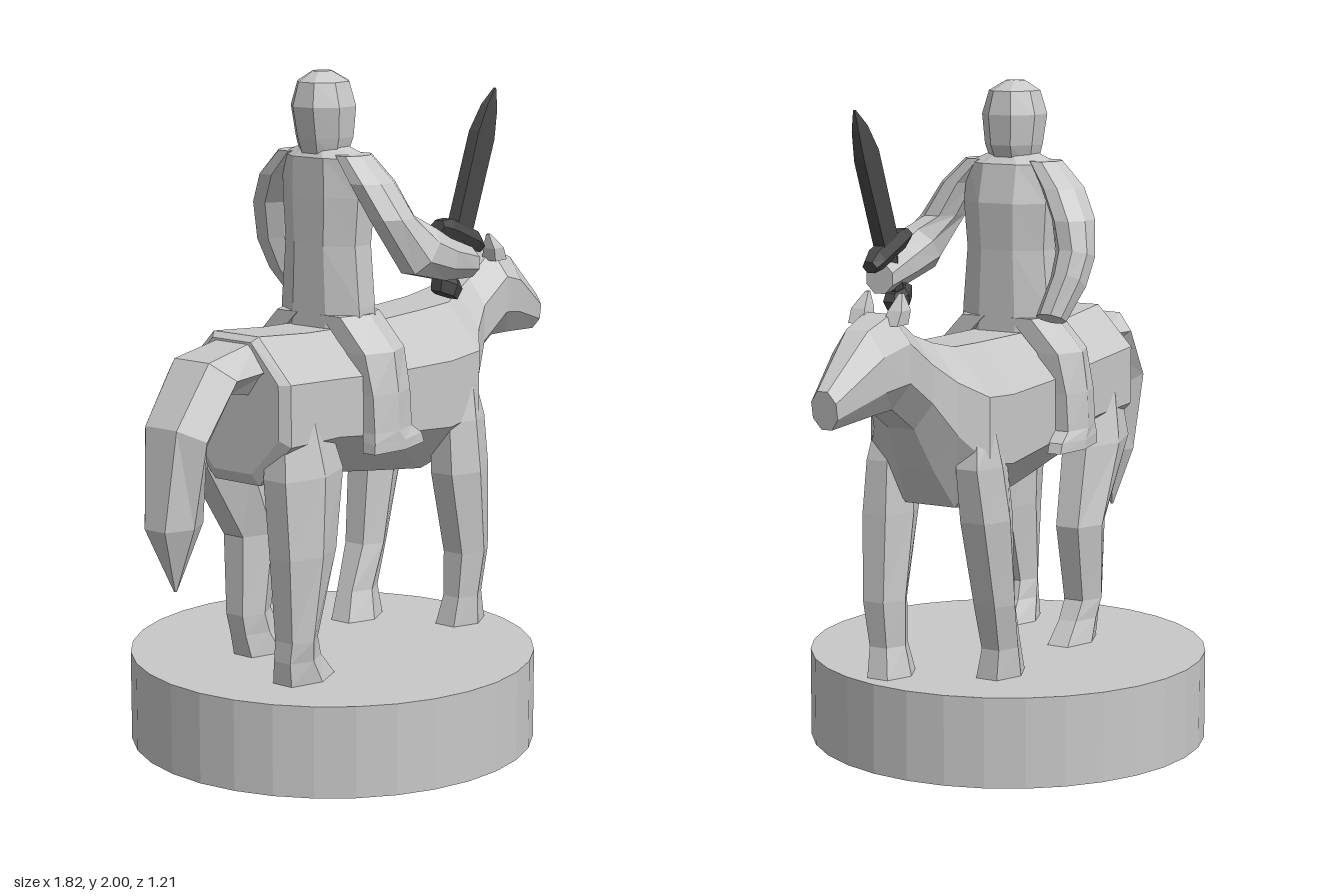
import * as THREE from 'three';

const stone = new THREE.MeshStandardMaterial({ color: 0xc8c8c8, flatShading: true });
stone.name = 'pale stone';
const steel = new THREE.MeshStandardMaterial({ color: 0x484848, flatShading: true });
steel.name = 'dark steel';

// Skin closed rings. Each section is [x, y, z, a, b, tilt]: half-size a lies in the
// xy plane at tilt degrees, half-size b lies along z. Flat sides touch the extents.
function loft(name, sections, material = stone, n = 8) {
  const grow = 1 / Math.cos(Math.PI / n);
  const pos = [], index = [];
  for (const [x, y, z, a, b, tilt = 0] of sections) {
    const t = THREE.MathUtils.degToRad(tilt);
    for (let i = 0; i < n; i++) {
      const p = ((i + 0.5) / n) * Math.PI * 2;
      const u = Math.cos(p) * a * grow;
      pos.push(x + u * Math.cos(t), y + u * Math.sin(t), z + Math.sin(p) * b * grow);
    }
  }
  for (let s = 0; s < sections.length - 1; s++) {
    for (let i = 0; i < n; i++) {
      const j = (i + 1) % n, p = s * n, q = p + n;
      index.push(p + i, q + i, q + j, p + i, q + j, p + j);
    }
  }
  const last = (sections.length - 1) * n;
  for (let i = 1; i < n - 1; i++) {
    index.push(0, i, i + 1, last, last + i + 1, last + i);
  }
  // Turn faces outward if the rings ran the other way
  const v = (k) => new THREE.Vector3().fromArray(pos, k * 3);
  const centre = v(0).add(v(last)).multiplyScalar(0.5);
  let volume = 0;
  for (let k = 0; k < index.length; k += 3) {
    const [p, q, r] = [0, 1, 2].map((m) => v(index[k + m]).sub(centre));
    volume += p.dot(q.cross(r));
  }
  if (volume < 0) index.reverse();
  const geo = new THREE.BufferGeometry();
  geo.setAttribute('position', new THREE.Float32BufferAttribute(pos, 3));
  geo.setIndex(index);
  const flat = geo.toNonIndexed();
  flat.computeVertexNormals();
  const mesh = new THREE.Mesh(flat, material);
  mesh.name = name;
  return mesh;
}

function createHorse() {
  const horse = new THREE.Group();
  horse.name = 'horse';

  // Trunk, neck and head in one skin
  horse.add(loft('horseBody', [
    [-0.58, 1.08, 0, 0.19, 0.17, 90],
    [-0.56, 1.07, 0, 0.215, 0.2, 90],
    [-0.34, 1.06, 0, 0.205, 0.2, 90],
    [-0.1, 1.035, 0, 0.22, 0.2, 90],
    [0.2, 1.015, 0, 0.245, 0.2, 90],
    [0.34, 1.03, 0, 0.235, 0.2, 90],
    [0.42, 1.1, 0, 0.185, 0.14, 90],
    [0.5, 1.18, 0, 0.135, 0.105, 90],
    [0.62, 1.255, 0, 0.135, 0.105, 90],
    [0.72, 1.235, 0, 0.12, 0.085, 85],
    [0.9, 1.155, 0, 0.055, 0.04, 80],
  ]));

  horse.add(loft('tail', [
    [-0.54, 1.19, 0, 0.08, 0.1, 90],
    [-0.705, 1.185, 0, 0.068, 0.11, 132],
    [-0.82, 1.03, 0, 0.07, 0.1, 150],
    [-0.832, 0.78, 0, 0.08, 0.065, 180],
    [-0.83, 0.59, 0, 0.004, 0.004, 180],
  ], stone, 6));

  // Ears
  for (const s of [1, -1]) {
    horse.add(loft(s > 0 ? 'leftEar' : 'rightEar', [
      [0.62, 1.36, s * 0.055, 0.03, 0.025],
      [0.605, 1.4, s * 0.06, 0.025, 0.022],
      [0.585, 1.445, s * 0.055, 0.005, 0.005],
    ], stone, 4));
  }

  // Striding legs
  horse.add(loft('leftForeleg', [
    [0.31, 1.04, 0.14, 0.05, 0.05],
    [0.3, 0.92, 0.15, 0.09, 0.06],
    [0.305, 0.76, 0.155, 0.095, 0.068],
    [0.34, 0.5, 0.155, 0.068, 0.06],
    [0.33, 0.36, 0.15, 0.06, 0.05],
    [0.332, 0.27, 0.14, 0.08, 0.06],
  ], stone, 6));
  horse.add(loft('rightForeleg', [
    [0.31, 1.04, -0.14, 0.05, 0.05],
    [0.3, 0.92, -0.15, 0.09, 0.06],
    [0.28, 0.76, -0.155, 0.085, 0.068],
    [0.235, 0.5, -0.155, 0.06, 0.06],
    [0.185, 0.36, -0.15, 0.065, 0.05],
    [0.17, 0.27, -0.14, 0.085, 0.06],
  ], stone, 6));
  horse.add(loft('leftHindLeg', [
    [-0.46, 1.1, 0.13, 0.08, 0.05],
    [-0.445, 0.88, 0.15, 0.13, 0.07],
    [-0.455, 0.65, 0.155, 0.105, 0.065],
    [-0.48, 0.4, 0.15, 0.058, 0.055],
    [-0.47, 0.34, 0.145, 0.07, 0.052],
    [-0.435, 0.27, 0.14, 0.098, 0.06],
  ], stone, 6));
  horse.add(loft('rightHindLeg', [
    [-0.46, 1.1, -0.13, 0.08, 0.05],
    [-0.42, 0.88, -0.15, 0.145, 0.07],
    [-0.31, 0.64, -0.155, 0.09, 0.065],
    [-0.34, 0.4, -0.15, 0.065, 0.055],
    [-0.32, 0.34, -0.145, 0.075, 0.052],
    [-0.285, 0.27, -0.14, 0.095, 0.06],
  ], stone, 6));
  return horse;
}

function createRider() {
  const rider = new THREE.Group();
  rider.name = 'rider';

  rider.add(loft('torso', [
    [-0.145, 1.2, 0, 0.09, 0.15],
    [-0.145, 1.32, 0, 0.09, 0.145],
    [-0.145, 1.5, 0, 0.09, 0.13],
    [-0.142, 1.64, 0, 0.095, 0.14],
    [-0.155, 1.755, 0, 0.082, 0.135],
    [-0.16, 1.785, 0, 0.055, 0.07],
  ]));

  rider.add(loft('head', [
    [-0.165, 1.75, 0, 0.06, 0.065],
    [-0.16, 1.81, 0, 0.082, 0.08],
    [-0.165, 1.9, 0, 0.094, 0.09],
    [-0.165, 1.97, 0, 0.078, 0.07],
    [-0.17, 2.0, 0, 0.03, 0.025],
  ]));

  // Legs with boots
  for (const s of [1, -1]) {
    rider.add(loft(s > 0 ? 'leftLeg' : 'rightLeg', [
      [-0.145, 1.3, s * 0.08, 0.092, 0.065],
      [-0.145, 1.2, s * 0.175, 0.093, 0.06],
      [-0.145, 1.08, s * 0.21, 0.088, 0.045],
      [-0.145, 0.97, s * 0.22, 0.088, 0.04],
      [-0.125, 0.94, s * 0.225, 0.112, 0.038],
      [-0.12, 0.91, s * 0.225, 0.118, 0.038],
    ], stone, 6));
  }

  // Left arm bent forward to the sword, right arm hanging to the rein
  rider.add(loft('leftArm', [
    [-0.165, 1.765, 0.11, 0.06, 0.045],
    [-0.165, 1.69, 0.18, 0.075, 0.055],
    [-0.145, 1.59, 0.235, 0.073, 0.06],
    [-0.075, 1.49, 0.28, 0.08, 0.06, 50],
    [0.03, 1.455, 0.285, 0.062, 0.055, 78],
    [0.19, 1.425, 0.26, 0.045, 0.045, 90],
  ]));
  rider.add(loft('rightArm', [
    [-0.155, 1.765, -0.11, 0.06, 0.045],
    [-0.135, 1.69, -0.18, 0.078, 0.055],
    [-0.1, 1.6, -0.235, 0.078, 0.055],
    [-0.075, 1.5, -0.255, 0.065, 0.052, 15],
    [-0.04, 1.42, -0.25, 0.058, 0.048, 30],
    [0.01, 1.315, -0.22, 0.042, 0.042, 25],
  ]));
  return rider;
}

function createSword() {
  const sword = new THREE.Group();
  sword.name = 'sword';
  sword.add(loft('blade', [
    [0, 0, 0, 0.046, 0.02],
    [0, 0.31, 0, 0.05, 0.018],
    [0.005, 0.4, 0, 0.03, 0.012],
    [0.012, 0.46, 0, 0.003, 0.003],
  ], steel, 4));
  sword.children[0].scale.x = 0.85;
  sword.add(loft('crossguard', [
    [-0.11, 0, 0, 0.018, 0.022, 90],
    [-0.07, 0.005, 0, 0.03, 0.03, 90],
    [0.07, 0.005, 0, 0.03, 0.03, 90],
    [0.11, 0, 0, 0.018, 0.022, 90],
  ], steel, 6));
  sword.add(loft('grip', [
    [0, -0.15, 0, 0.026, 0.022],
    [0, 0, 0, 0.026, 0.022],
  ], steel, 6));
  sword.add(loft('pommel', [
    [0, -0.18, 0, 0.045, 0.03],
    [0, -0.145, 0, 0.055, 0.034],
    [0, -0.125, 0, 0.035, 0.026],
  ], steel, 6));
  sword.position.set(0.15, 1.505, 0.255);
  sword.rotation.z = -0.38;
  return sword;
}

export function createModel() {
  const model = new THREE.Group();
  model.name = 'mountedRiderStatue';

  // Round plinth
  const base = new THREE.Mesh(new THREE.CylinderGeometry(0.607, 0.607, 0.27, 32), stone);
  base.name = 'plinth';
  base.position.set(-0.128, 0.135, 0);

  model.add(base, createHorse(), createRider(), createSword());
  return model;
}
